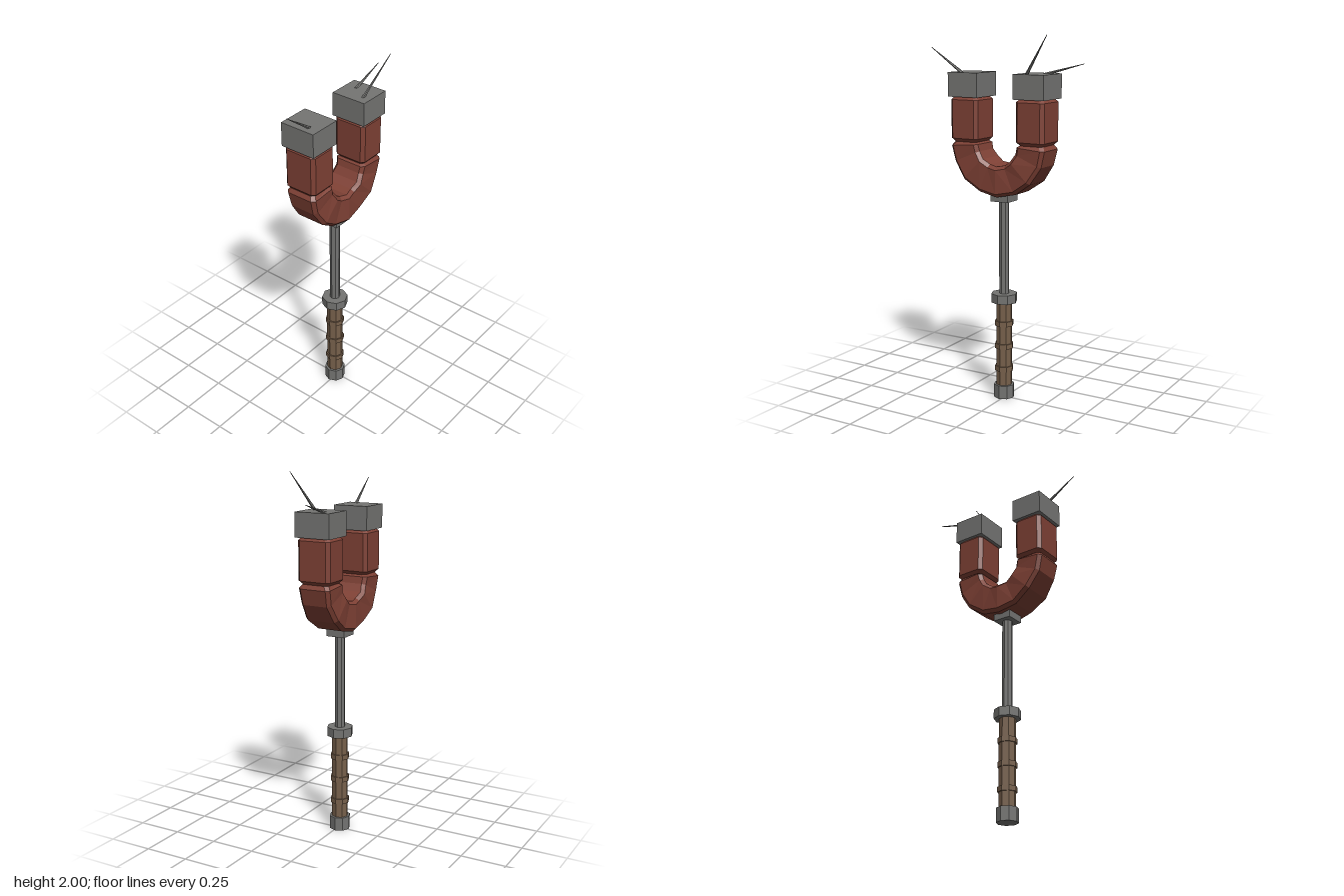
import * as THREE from 'three';

const steel = new THREE.MeshStandardMaterial({ color: 0x757573 });
steel.name = 'steel grey';
const red = new THREE.MeshStandardMaterial({ color: 0x7f4135 });
red.name = 'magnet red';
const brown = new THREE.MeshStandardMaterial({ color: 0x78614c });
brown.name = 'grip brown';

const CX = -0.01, CZ = -0.007; // axis of the handle and magnet

function add(parent, name, geometry, material) {
  const flat = geometry.index ? geometry.toNonIndexed() : geometry;
  flat.computeVertexNormals();
  const mesh = new THREE.Mesh(flat, material);
  mesh.name = name;
  parent.add(mesh);
  return mesh;
}

// Eight-sided prism standing on the handle axis
function rod(parent, name, radius, y0, y1, material) {
  const m = add(parent, name, new THREE.CylinderGeometry(radius, radius, y1 - y0, 8), material);
  m.position.set(CX, (y0 + y1) / 2, CZ);
}

function block(parent, name, w, h, d, x, y) {
  add(parent, name, new THREE.BoxGeometry(w, h, d), steel).position.set(x, y, CZ);
}

// Chamfered rectangular cross-sections joined along a path.
// Each frame: centre x, y, outward direction angle t, half width hu, half depth hv
function loft(frames) {
  const pos = [], idx = [], c = 0.018;
  for (const { x, y, t, hu, hv } of frames) {
    const section = [
      [hu, -hv + c], [hu, hv - c], [hu - c, hv], [-hu + c, hv],
      [-hu, hv - c], [-hu, -hv + c], [-hu + c, -hv], [hu - c, -hv],
    ];
    for (const [u, v] of section) pos.push(x + Math.cos(t) * u, y + Math.sin(t) * u, CZ - v);
  }
  const last = (frames.length - 1) * 8;
  for (let i = 0; i < last; i += 8) {
    for (let j = 0; j < 8; j++) {
      const k = (j + 1) % 8;
      idx.push(i + j, i + k, i + 8 + k, i + j, i + 8 + k, i + 8 + j);
    }
  }
  for (let j = 1; j < 7; j++) idx.push(0, j + 1, j, last, last + j, last + j + 1);
  const g = new THREE.BufferGeometry();
  g.setAttribute('position', new THREE.Float32BufferAttribute(pos, 3));
  g.setIndex(idx);
  return g;
}

// Thin tapered splinter from base to tip
function splinter(parent, name, base, tip) {
  const a = new THREE.Vector3(...base), b = new THREE.Vector3(...tip);
  const dir = b.clone().sub(a);
  const m = add(parent, name, new THREE.CylinderGeometry(0.0015, 0.009, dir.length(), 6), steel);
  m.position.copy(a).add(b).multiplyScalar(0.5);
  m.quaternion.setFromUnitVectors(new THREE.Vector3(0, 1, 0), dir.normalize());
}

export function createModel() {
  const model = new THREE.Group();
  model.name = 'magnetStaff';

  // Handle
  const handle = new THREE.Group();
  handle.name = 'handle';
  model.add(handle);
  rod(handle, 'pommel', 0.058, 0, 0.075, steel);
  rod(handle, 'grip', 0.045, 0.07, 0.555, brown);
  for (const y of [0.17, 0.3, 0.43]) rod(handle, 'gripRing', 0.052, y - 0.014, y + 0.014, brown);
  rod(handle, 'guard', 0.072, 0.55, 0.6, steel);
  rod(handle, 'shaft', 0.028, 0.59, 1.13, steel);
  block(handle, 'collar', 0.106, 0.06, 0.106, CX, 1.145);

  // Horseshoe magnet: bend with a slightly hammered surface
  const magnet = new THREE.Group();
  magnet.name = 'magnet';
  model.add(magnet);
  const bend = [];
  const ring = (t, inset, wobble = 0) => bend.push({
    x: CX + Math.cos(t) * 0.2025, y: 1.43 + Math.sin(t) * 0.2025, t,
    hu: 0.0825 - inset, hv: 0.092 - inset + wobble,
  });
  const N = 8;
  ring(Math.PI, 0.015);
  ring(Math.PI + 0.08, 0);
  for (let i = 1; i < N; i++) ring(Math.PI * (1 + i / N), 0, i % 2 ? -0.004 : 0.005);
  ring(2 * Math.PI - 0.08, 0);
  ring(2 * Math.PI, 0.015);
  add(magnet, 'bend', loft(bend), red);

  // Arms and steel poles
  for (const s of [-1, 1]) {
    const x = CX + s * 0.2;
    const arm = [[1.43, 0.015], [1.448, 0], [1.655, 0], [1.672, 0.015]].map(
      ([y, inset]) => ({ x, y, t: 0, hu: 0.084 - inset, hv: 0.094 - inset }));
    add(magnet, s < 0 ? 'rightArm' : 'leftArm', loft(arm), red);
    block(magnet, s < 0 ? 'rightPole' : 'leftPole', 0.18, 0.13, 0.2, x, 1.735);
  }

  // Metal splinters stuck to the poles
  splinter(model, 'rightSplinter', [-0.25, 1.795, 0.03], [-0.432, 1.927, 0.048]);
  splinter(model, 'leftFrontSplinter', [0.153, 1.795, 0.045], [0.302, 2.0, 0.103]);
  splinter(model, 'leftBackSplinter', [0.21, 1.795, -0.045], [0.43, 1.854, -0.063]);

  return model;
}
